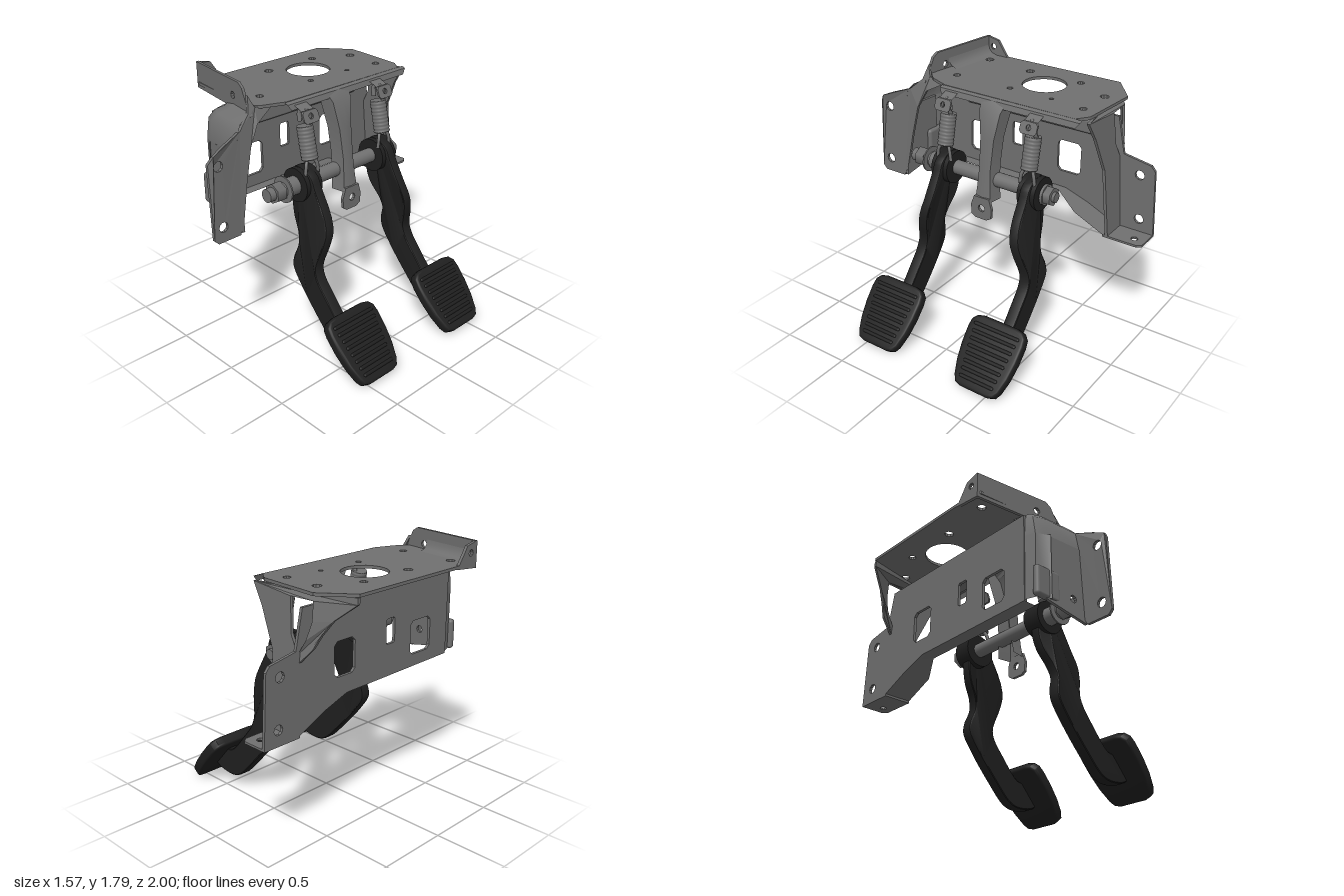
import * as THREE from 'three';
import { toCreasedNormals } from 'three/addons/utils/BufferGeometryUtils.js';
import { RoundedBoxGeometry } from 'three/addons/geometries/RoundedBoxGeometry.js';

const steel = new THREE.MeshStandardMaterial({ color: 0x707070, side: THREE.DoubleSide });
steel.name = 'grey steel';
const rubber = new THREE.MeshStandardMaterial({ color: 0x1f1f1f });
rubber.name = 'black';

const V = (x, y, z) => new THREE.Vector3(x, y, z);

function add(parent, name, geometry, material, x = 0, y = 0, z = 0) {
  const m = new THREE.Mesh(geometry, material);
  m.name = name;
  m.position.set(x, y, z);
  parent.add(m);
  return m;
}

// Round hole outline as a list of points
function round(cx, cy, r, n = 10) {
  return Array.from({ length: n }, (_, i) => {
    const a = (i / n) * Math.PI * 2;
    return [cx + r * Math.cos(a), cy + r * Math.sin(a)];
  });
}
const rect = (a0, a1, b0, b1, c = 0.025) => [
  [a0 + c, b0], [a1 - c, b0], [a1, b0 + c], [a1, b1 - c],
  [a1 - c, b1], [a0 + c, b1], [a0, b1 - c], [a0, b0 + c]];

// Sheet metal: 'xy', 'zy' or 'xz' outline with holes, extruded along the third axis from position "at"
function sheet(plane, outline, holes, at, thick = 0.02, warp = null) {
  const to = ([a, b]) => plane === 'zy' ? new THREE.Vector2(-a, b)
    : plane === 'xz' ? new THREE.Vector2(a, -b) : new THREE.Vector2(a, b);
  const shape = new THREE.Shape(outline.map(to));
  shape.holes = holes.map(h => new THREE.Path(h.map(to)));
  const g = new THREE.ExtrudeGeometry(shape, { depth: thick, bevelEnabled: false });
  if (plane === 'zy') g.rotateY(Math.PI / 2).translate(at, 0, 0);
  else if (plane === 'xz') g.rotateX(-Math.PI / 2).translate(0, at, 0);
  else g.translate(0, 0, at);
  return warp ? bend(g, warp) : g;
}

function bend(g, rule) {
  const p = g.attributes.position, v = V(0, 0, 0);
  for (let i = 0; i < p.count; i++) {
    rule(v.fromBufferAttribute(p, i));
    p.setXYZ(i, v.x, v.y, v.z);
  }
  g.computeVertexNormals();
  return g;
}

// Open surface through rows of points
function loft(rows) {
  const n = rows[0].length, idx = [];
  for (let r = 0; r < rows.length - 1; r++)
    for (let c = 0; c < n - 1; c++) {
      const a = r * n + c, b = a + n;
      idx.push(a, a + 1, b, b, a + 1, b + 1);
    }
  const g = new THREE.BufferGeometry();
  g.setAttribute('position', new THREE.Float32BufferAttribute(rows.flat(2), 3));
  g.setIndex(idx);
  g.computeVertexNormals();
  return toCreasedNormals(g, 0.7);
}

const wire = (pts, r = 0.012) =>
  new THREE.TubeGeometry(new THREE.CatmullRomCurve3(pts), 20, r, 6);

function bracket() {
  const g = new THREE.Group();
  g.name = 'bracket';
  // Top plate with its large opening and bolt holes
  const bolts = [[-0.49, -0.57, 0.03], [-0.23, -0.56, 0.025], [-0.62, -0.32, 0.025], [-0.26, -0.31, 0.016],
    [-0.62, 0.08, 0.03], [-0.27, 0.015, 0.02], [-0.66, 0.45, 0.03], [-0.27, 0.45, 0.025]];
  add(g, 'topPlate', sheet('xz',
    [[-0.785, 0.53], [-0.76, 0.56], [-0.2, 0.62], [-0.13, 0.55], [-0.07, 0.4], [-0.06, -0.6],
      [-0.14, -0.66], [-0.58, -0.69], [-0.785, -0.53]],
    [round(-0.46, -0.135, 0.15, 28), ...bolts.map(b => round(...b))], 1.633), steel);
  add(g, 'frontLip', loft([[[-0.065, 1.652, 0.42], [-0.06, 1.652, -0.65]],
    [[-0.04, 1.642, 0.42], [-0.035, 1.642, -0.65]], [[-0.025, 1.605, 0.4], [-0.025, 1.605, -0.62]]]), steel);
  // Upturned end flange, returning a little way round the outer edge
  add(g, 'endFlange', sheet('xy',
    [[-0.785, 1.61], [-0.785, 1.785], [-0.26, 1.785], [-0.22, 1.76], [-0.2, 1.72], [-0.13, 1.6]],
    [round(-0.33, 1.685, 0.024)], 0.53, 0.02, v => { v.z += (v.x + 0.785) * 0.14; }), steel);
  add(g, 'flangeReturn', sheet('zy',
    [[0.545, 1.61], [0.545, 1.785], [0.45, 1.765], [0.42, 1.72], [0.37, 1.65], [0.35, 1.63]],
    [round(0.49, 1.715, 0.022)], -0.785), steel);
  // Soft bend where the plate turns up into the flange
  add(g, 'flangeBend', loft([-0.765, -0.36, -0.2].map(x => {
    const z = 0.53 + (x + 0.785) * 0.14;
    return [[x, 1.654, z - 0.07], [x, 1.665, z - 0.03], [x, 1.69, z - 0.008], [x, 1.72, z]];
  }).slice(0, 2)), steel);

  // Rear wall running into the far mounting flange
  add(g, 'rearWall', sheet('zy',
    [[0.66, 0.94], [0.66, 1.55], [-0.69, 1.55], [-0.745, 1.3], [-0.945, 1.265], [-0.975, 1.23], [-1, 0.77],
      [-0.72, 0.77], [-0.5, 0.87], [-0.32, 0.93]],
    [rect(0.28, 0.48, 1.02, 1.25), rect(0.04, 0.12, 1.15, 1.32, 0.01), rect(-0.43, -0.25, 1.05, 1.28),
      round(-0.87, 1.18, 0.034), round(-0.89, 0.86, 0.034)], -0.495), steel);
  add(g, 'wallBead', new RoundedBoxGeometry(0.04, 0.1, 1.1, 2, 0.018), steel, -0.475, 1.43, -0.04);

  // Lower lip along the rear wall, widening to the far end
  const lip = [[0.66, 0.94, -0.4], [-0.32, 0.93, -0.4], [-0.5, 0.87, -0.295], [-0.72, 0.77, -0.295]];
  add(g, 'lowerLip', loft(lip.map(([z, y, x]) => [[-0.495, y, z], [x, y, z]])), steel);
  add(g, 'lowerTab', sheet('xz',
    [[-0.495, -0.72], [-0.295, -0.72], [-0.295, -0.97], [-0.32, -1], [-0.495, -1]],
    [round(-0.37, -0.92, 0.024)], 0.755, 0.015), steel);

  // Near side wall with a rounded rear corner and a drawn-in top
  const band = (y, l, r, z) => [[l, y, z - 0.12], [l + 0.03, y, z - 0.03], [l + 0.1, y, z], [r, y, z + 0.02]];
  add(g, 'sideWallTop', loft([band(1.4, -0.495, -0.105, 0.76), band(1.53, -0.495, -0.11, 0.74),
    band(1.575, -0.48, -0.13, 0.7), band(1.6, -0.44, -0.14, 0.65), band(1.64, -0.42, -0.15, 0.6)]), steel);
  add(g, 'sideWallCorner', loft([0.95, 1.4].map(y => band(y, -0.495, -0.38, 0.76))), steel);
  add(g, 'sideWall', sheet('xy', [[-0.395, 0.945], [-0.08, 0.88], [-0.105, 1.4], [-0.395, 1.4]],
    [round(-0.19, 1.02, 0.026)], 0.74, 0.02, v => { v.z += (v.x + 0.395) * 0.08; }), steel);
  add(g, 'sideWallBulge', new RoundedBoxGeometry(0.2, 0.21, 0.05, 2, 0.022), steel, -0.393, 1.055, 0.745);

  // Near mounting flange
  add(g, 'nearFlange', sheet('zy',
    [[0.62, 1.72], [0.65, 1.62], [0.74, 1.54], [0.89, 1.485], [0.97, 1.45], [1, 1.4], [1, 0.9], [0.97, 0.87],
      [0.8, 0.87], [0.77, 0.93], [0.72, 1.2], [0.67, 1.42], [0.6, 1.55], [0.45, 1.63], [0.59, 1.645]],
    [round(0.925, 1.37, 0.034), round(0.925, 0.97, 0.034)], -0.1, 0.02,
    v => { v.x -= v.y > 1.45 ? (v.y - 1.45) * 0.35 : (v.y - 0.9) * 0.04; }), steel);

  // Far gusset with an opening, between the plate and the rear wall
  add(g, 'farGusset', sheet('xy',
    [[-0.78, 1.63], [-0.08, 1.63], [-0.16, 1.5], [-0.27, 1.25], [-0.295, 0.77], [-0.49, 0.77], [-0.49, 1.22],
      [-0.58, 1.32], [-0.62, 1.41], [-0.67, 1.49], [-0.78, 1.59]],
    [[[-0.57, 1.6], [-0.57, 1.48], [-0.54, 1.37], [-0.48, 1.27], [-0.42, 1.38], [-0.4, 1.6]]], -0.69, 0.02,
    v => { v.z += -(1.63 - v.y) * 0.08 + Math.max(0, -0.55 - v.x) * 0.65; }), steel);

  // Central hanging strap: a shallow channel ending in a drilled tongue
  const strap = [[-0.05, 1.645, 0.12], [0, 1.58, 0.1], [0.03, 1.4, 0.065], [0.055, 1.2, 0.055], [0.07, 1.05, 0.065], [0.08, 0.97, 0.075]];
  add(g, 'centreStrap', loft(strap.map(([x, y, w]) => [[x - 0.1, y, -w - 0.01], [x, y, -w * 0.8 - 0.01],
    [x + 0.01, y, -0.01], [x, y, w * 0.8 - 0.01], [x - 0.1, y, w - 0.01]])), steel);
  add(g, 'strapTongue', sheet('zy',
    [[0.05, 1], [0.075, 0.93], [0.07, 0.86], [0.04, 0.84], [-0.05, 0.84], [-0.085, 0.86], [-0.09, 0.93], [-0.07, 1]],
    [round(-0.01, 0.92, 0.026)], 0.075), steel);
  return g;
}

function pivot() {
  const g = new THREE.Group();
  g.name = 'pivotShaft';
  g.position.set(-0.015, 1.107, 0);
  // [name, radius, z start, z end, sides]
  const parts = [['shaft', 0.05, -0.47, 0.56, 20], ['boltHead', 0.068, 0.52, 0.59, 6], ['boltEnd', 0.045, 0.59, 0.635, 16],
    ['washer', 0.09, 0.49, 0.5, 20], ['collar', 0.062, 0.4, 0.47, 20], ['farWasher', 0.07, -0.45, -0.43, 20],
    ['nut', 0.065, -0.5, -0.45, 6], ['farEnd', 0.035, -0.52, -0.5, 14]];
  for (const [name, r, a, b, n] of parts)
    add(g, name, new THREE.CylinderGeometry(r, r, b - a, n).rotateX(Math.PI / 2), steel, 0, 0, (a + b) / 2);
  return g;
}

function pedal(name, zTop, zLow, zPad) {
  const g = new THREE.Group();
  g.name = name;
  // Swept arm, shifted sideways below the pivot
  const edge = [[-0.05, 1.22], [0.09, 1.19], [0.14, 1.1], [0.258, 0.86], [0.252, 0.75], [0.215, 0.6], [0.235, 0.53],
    [0.32, 0.42], [0.45, 0.28], [0.53, 0.26], [0.64, 0.14], [0.61, 0.1], [0.47, 0.075], [0.38, 0.1], [0.245, 0.23], [0.08, 0.42],
    [0.005, 0.535], [0.005, 0.61], [0.03, 0.7], [0.01, 0.775], [-0.055, 0.88], [-0.085, 1.01]];
  const curve = new THREE.CatmullRomCurve3(edge.map(([x, y]) => V(x, y, 0)), true);
  const shape = new THREE.Shape(curve.getPoints(90).slice(0, -1).map(p => new THREE.Vector2(p.x, p.y)));
  const arm = new THREE.ExtrudeGeometry(shape,
    { depth: 0.044, bevelSize: 0.008, bevelOffset: -0.008, bevelThickness: 0.012, bevelSegments: 2 });
  bend(arm.translate(0, 0, -0.022), v => {
    const t = THREE.MathUtils.smoothstep(1.0 - v.y, 0, 0.48);
    v.z = v.z * (1 + 0.2 * t) + zTop + (zLow - zTop) * t;
  });
  add(g, 'arm', toCreasedNormals(arm, 0.6), rubber);
  add(g, 'hub', new THREE.CylinderGeometry(0.115, 0.115, 0.13, 28).rotateX(Math.PI / 2), rubber, -0.01, 1.107, zTop);

  // Rounded, tapered pad with cross ridges
  const pad = new THREE.Group();
  pad.name = 'pad';
  const half = [[0.1, -0.218], [0.135, -0.207], [0.155, -0.175], [0.18, -0.08], [0.193, 0.03], [0.195, 0.14],
    [0.188, 0.185], [0.165, 0.21], [0.12, 0.22]];
  const outline = [...half, ...half.map(([u, v]) => [-u, v]).reverse()].map(p => new THREE.Vector2(...p));
  const body = new THREE.ExtrudeGeometry(new THREE.Shape(outline),
    { depth: 0.034, bevelSize: 0.018, bevelThickness: 0.02, bevelSegments: 4 });
  add(pad, 'padBody', toCreasedNormals(body, 0.6), rubber, 0, 0, -0.022);
  for (let i = 0; i < 8; i++) {
    const ridge = new THREE.CapsuleGeometry(0.013, 0.24 + i * 0.012, 4, 8).rotateZ(Math.PI / 2);
    add(pad, 'padRidge', ridge, rubber, 0, -0.17 + i * 0.049, 0.028);
  }
  pad.applyMatrix4(new THREE.Matrix4().makeBasis(V(0, 0, -1), V(-0.66, 0.751, 0), V(0.751, 0.66, 0)));
  pad.position.set(0.61, 0.195, zPad);
  g.add(pad);
  return g;
}

function returnSpring(z) {
  const g = new THREE.Group();
  g.name = 'returnSpring';
  g.position.z = z;
  // Tight coil body
  const profile = [new THREE.Vector2(0, -0.11)];
  for (let i = 0; i <= 36; i++)
    profile.push(new THREE.Vector2(0.054 + 0.002 * Math.sin(i * Math.PI / 2), -0.11 + i * 0.22 / 36));
  profile.push(new THREE.Vector2(0, 0.11));
  const coil = add(g, 'coil', new THREE.LatheGeometry(profile, 18), steel, 0.022, 1.39, 0);
  coil.rotation.z = 0.2;
  // Hooks and hanging clip
  add(g, 'upperHook', wire([V(0.01, 1.49, -0.03), V(0.03, 1.55, -0.02), V(0.02, 1.6, 0), V(-0.02, 1.59, 0.02), V(-0.01, 1.53, 0.03)], 0.015), steel);
  for (const s of [-1, 1])
    add(g, 'lowerHook', wire([V(0.04, 1.3, s * 0.02), V(0.06, 1.25, s * 0.045), V(0.06, 1.18, s * 0.055)], 0.012), steel);
  add(g, 'clip', sheet('zy', rect(-0.062, 0.062, 1.535, 1.61, 0.015), [round(0, 1.575, 0.018)], 0.035, 0.015,
    v => { v.x += (1.61 - v.y) * 0.4; }), steel);
  add(g, 'clipArm', loft([[[-0.06, 1.64, -0.05], [-0.06, 1.64, 0.05]], [[0.042, 1.6, -0.05], [0.042, 1.6, 0.05]]]), steel);
  return g;
}

export function createModel() {
  const model = new THREE.Group();
  model.name = 'pedalAssembly';
  model.add(bracket(), pivot(),
    pedal('nearPedal', 0.335, 0.41, 0.4), pedal('farPedal', -0.358, -0.44, -0.427),
    returnSpring(0.32), returnSpring(-0.345));
  return model;
}
